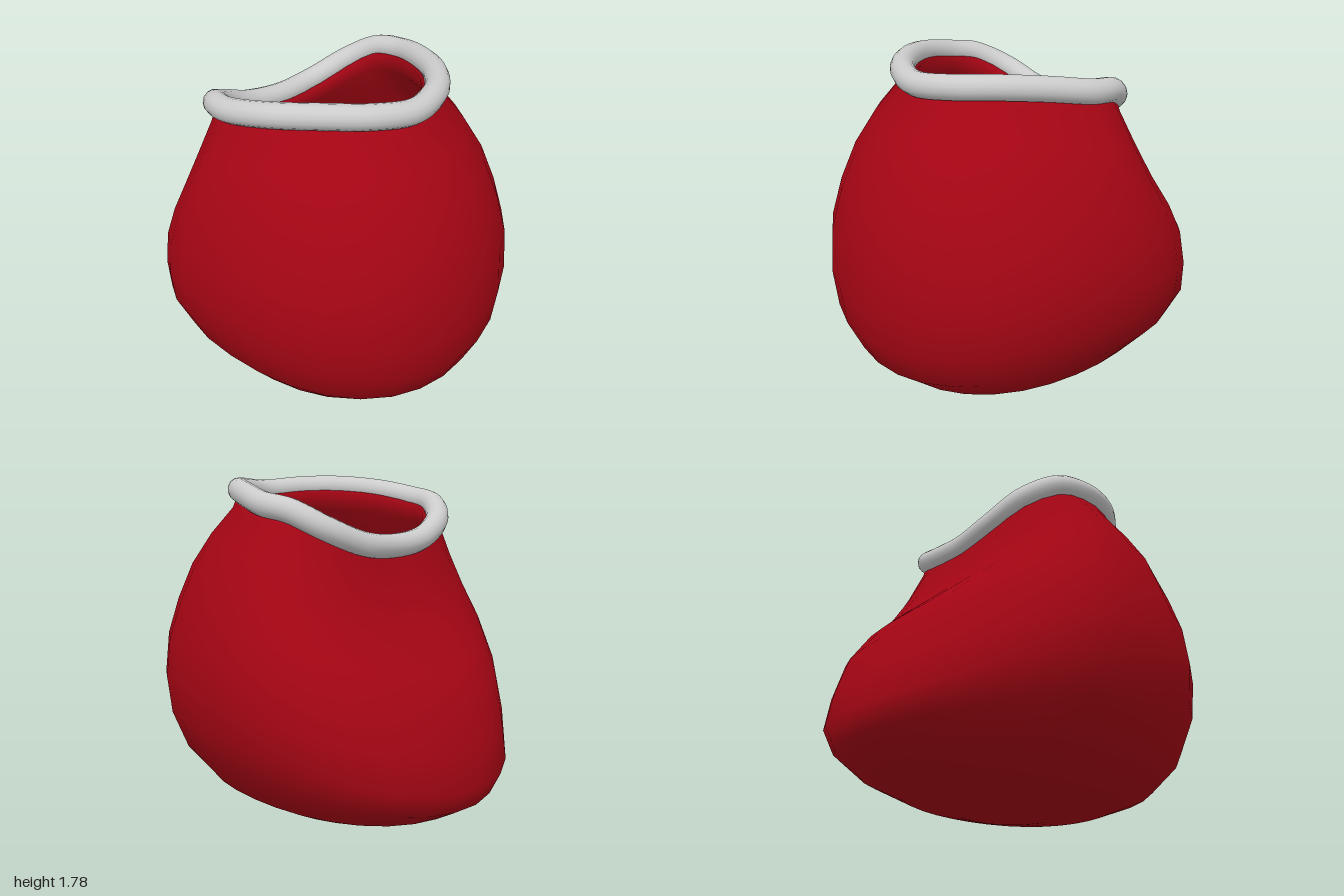
import * as THREE from 'three';

const SEGMENTS = 32;
const WALL = 0.08;

// Centre line of the rim, from the front round by the left, back and right
const rimCurve = new THREE.CatmullRomCurve3([
  [0, 1.70, 0.58], [0.21, 1.715, 0.52], [0.36, 1.72, 0.38], [0.48, 1.70, 0.17],
  [0.55, 1.665, -0.04], [0.53, 1.64, -0.20], [0.43, 1.56, -0.33], [0.23, 1.475, -0.395],
  [0, 1.45, -0.395], [-0.23, 1.475, -0.395], [-0.43, 1.56, -0.34], [-0.55, 1.635, -0.21],
  [-0.58, 1.66, -0.06], [-0.52, 1.70, 0.17], [-0.37, 1.72, 0.38], [-0.20, 1.715, 0.52],
].map((p) => new THREE.Vector3(...p)), true);

// Body rings: front z, front y, back z, back y, half width, side y, side z, share of rim shape
const RINGS = [
  [0.57, 1.68, -0.40, 1.46, 0.56, 1.66, -0.08, 1],
  [0.60, 1.59, -0.42, 1.38, 0.595, 1.57, -0.08, 0.95],
  [0.72, 1.46, -0.50, 1.21, 0.69, 1.43, -0.08, 0.7],
  [0.83, 1.30, -0.61, 1.04, 0.78, 1.27, -0.08, 0.5],
  [0.92, 1.11, -0.78, 0.87, 0.84, 1.10, -0.10, 0.25],
  [0.98, 0.90, -0.89, 0.71, 0.89, 0.94, -0.10, 0.1],
  [1.00, 0.66, -0.96, 0.50, 0.91, 0.75, -0.10, 0],
  [0.98, 0.45, -1.00, 0.32, 0.89, 0.56, -0.10, 0],
  [0.90, 0.27, -0.95, 0.21, 0.81, 0.36, -0.08, 0],
  [0.75, 0.14, -0.82, 0.13, 0.67, 0.18, -0.06, 0],
  [0.54, 0.06, -0.62, 0.06, 0.47, 0.06, -0.05, 0],
  [0.25, 0.015, -0.35, 0.015, 0.27, 0.01, -0.04, 0],
];

// Point on a tilted egg-shaped ring; the right back corner is flattened, the others are fuller
function eggPoint([zf, yf, zb, yb, w, ym, zm], u) {
  const a = u * Math.PI * 2;
  const c = Math.cos(a);
  const s = Math.sin(a);
  const corner = c < 0 && s < 0 ? -0.065 : 0.025;
  const swell = 1 + corner * Math.sin(2 * a) ** 2;
  return new THREE.Vector3(
    w * s * swell,
    ym + ((yf - yb) / 2) * c + ((yf + yb) / 2 - ym) * c * c,
    zm + (c > 0 ? zf - zm : zm - zb) * c * swell,
  );
}

function makeGeometry(positions, index) {
  const geometry = new THREE.BufferGeometry();
  geometry.setAttribute('position', new THREE.Float32BufferAttribute(positions, 3));
  geometry.setIndex(index);
  geometry.computeVertexNormals();
  return geometry;
}

// Outer skin through the rings, closed by a fan at the bottom, then thickened inwards
function bodyGeometry() {
  const positions = [];
  const index = [];
  for (const ring of RINGS) {
    for (let i = 0; i < SEGMENTS; i++) {
      const u = i / SEGMENTS;
      const rimOffset = rimCurve.getPoint(u).sub(eggPoint(RINGS[0], u));
      const p = eggPoint(ring, u).addScaledVector(rimOffset, ring[7]);
      positions.push(p.x, p.y, p.z);
    }
  }
  positions.push(0, 0, -0.03);
  const pole = RINGS.length * SEGMENTS;
  for (let r = 0; r < RINGS.length; r++) {
    for (let i = 0; i < SEGMENTS; i++) {
      const a = r * SEGMENTS + i;
      const b = r * SEGMENTS + ((i + 1) % SEGMENTS);
      if (r === RINGS.length - 1) index.push(a, pole, b);
      else index.push(a, a + SEGMENTS, b, b, a + SEGMENTS, b + SEGMENTS);
    }
  }

  // Inner skin: the outer one moved in along its normals and turned round
  const normals = makeGeometry(positions, index).attributes.normal.array;
  const inner = positions.map((v, k) => v - normals[k] * WALL);
  const shift = pole + 1;
  const innerIndex = index.map((v) => v + shift).reverse();

  // Lip joining the two skins under the rim
  const lip = [];
  for (let a = 0; a < SEGMENTS; a++) {
    const b = (a + 1) % SEGMENTS;
    lip.push(a + shift, a, b + shift, b + shift, a, b);
  }
  return makeGeometry([...positions, ...inner], [...index, ...innerIndex, ...lip]);
}

export function createModel() {
  const model = new THREE.Group();
  model.name = 'openSack';

  // Open cloth body with a thick wall
  const body = new THREE.Mesh(
    bodyGeometry(),
    new THREE.MeshStandardMaterial({ color: 0xa50514 }),
  );
  body.name = 'sackBody';
  model.add(body);

  // Rolled rim round the mouth
  const rim = new THREE.Mesh(
    new THREE.TubeGeometry(rimCurve, 96, 0.062, 14, true),
    new THREE.MeshStandardMaterial({ color: 0xcccccc }),
  );
  rim.name = 'rim';
  model.add(rim);

  return model;
}
